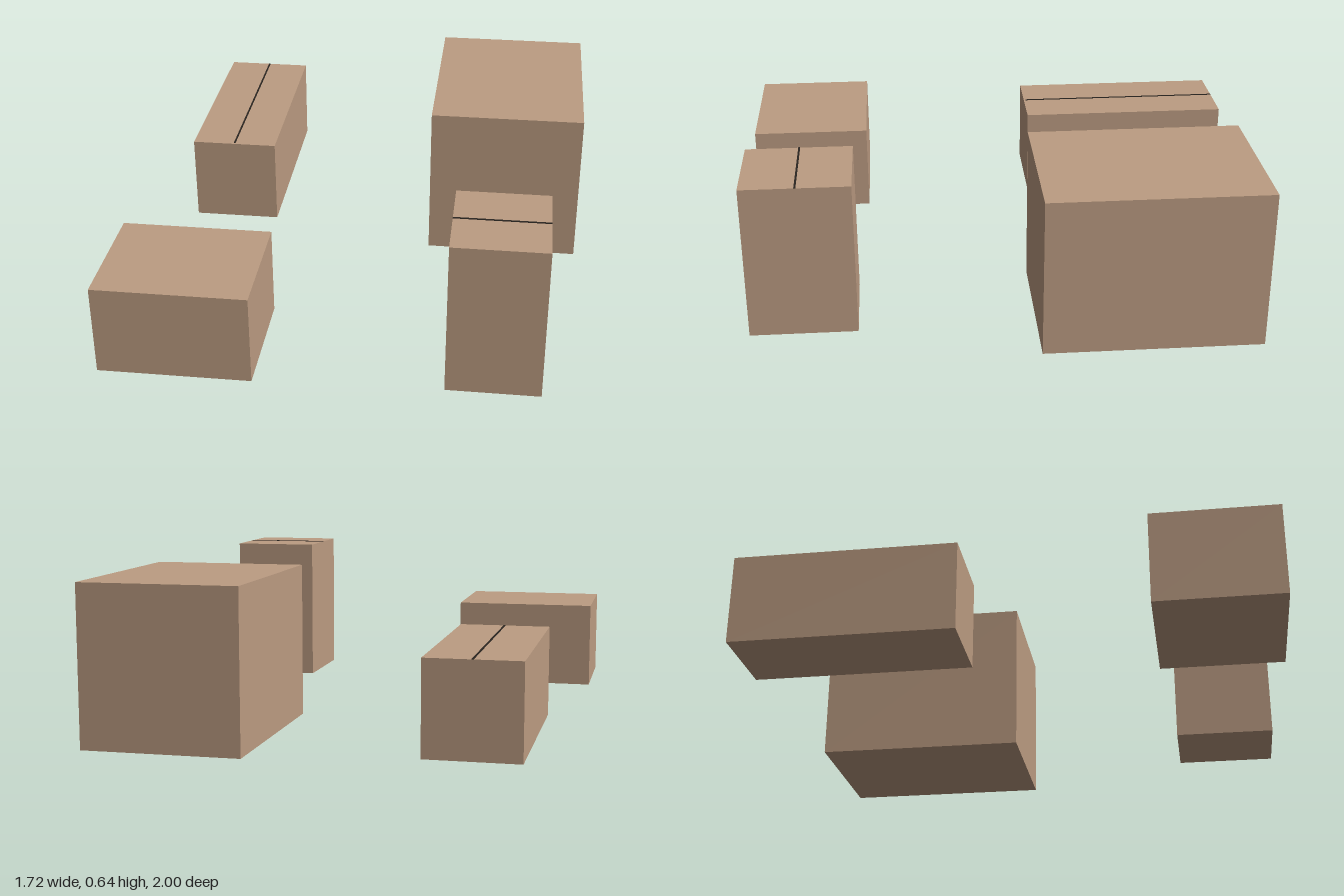
import * as THREE from 'three';

export function createModel() {
  const model = new THREE.Group();
  model.name = 'cardboardBoxes';

  const cardboard = new THREE.MeshStandardMaterial({ name: 'cardboard', color: 0xbc9c82 });
  const seamDark = new THREE.MeshStandardMaterial({ name: 'darkSeam', color: 0x2a2520 });

  // Adds a block spanning the given [min, max] ranges.
  function addBlock(name, material, [x0, x1], [y0, y1], [z0, z1]) {
    const mesh = new THREE.Mesh(new THREE.BoxGeometry(x1 - x0, y1 - y0, z1 - z0), material);
    mesh.position.set((x0 + x1) / 2, (y0 + y1) / 2, (z0 + z1) / 2);
    mesh.name = name;
    model.add(mesh);
  }

  // Four separate boxes
  addBlock('largeBox', cardboard, [0.253, 0.86], [0, 0.61], [-0.912, -0.093]);
  addBlock('longBox', cardboard, [-0.75, -0.406], [0.054, 0.398], [-1, -0.16]);
  addBlock('wideBox', cardboard, [-0.86, -0.295], [0.054, 0.398], [0.535, 1]);
  addBlock('tallBox', cardboard, [0.39, 0.732], [0.05, 0.638], [0.57, 0.965]);

  // Thin seams where the lid flaps meet
  addBlock('longBoxSeam', seamDark, [-0.581, -0.574], [0.397, 0.4], [-1, -0.167]);
  addBlock('tallBoxSeam', seamDark, [0.39, 0.732], [0.637, 0.64], [0.763, 0.77]);

  return model;
}
